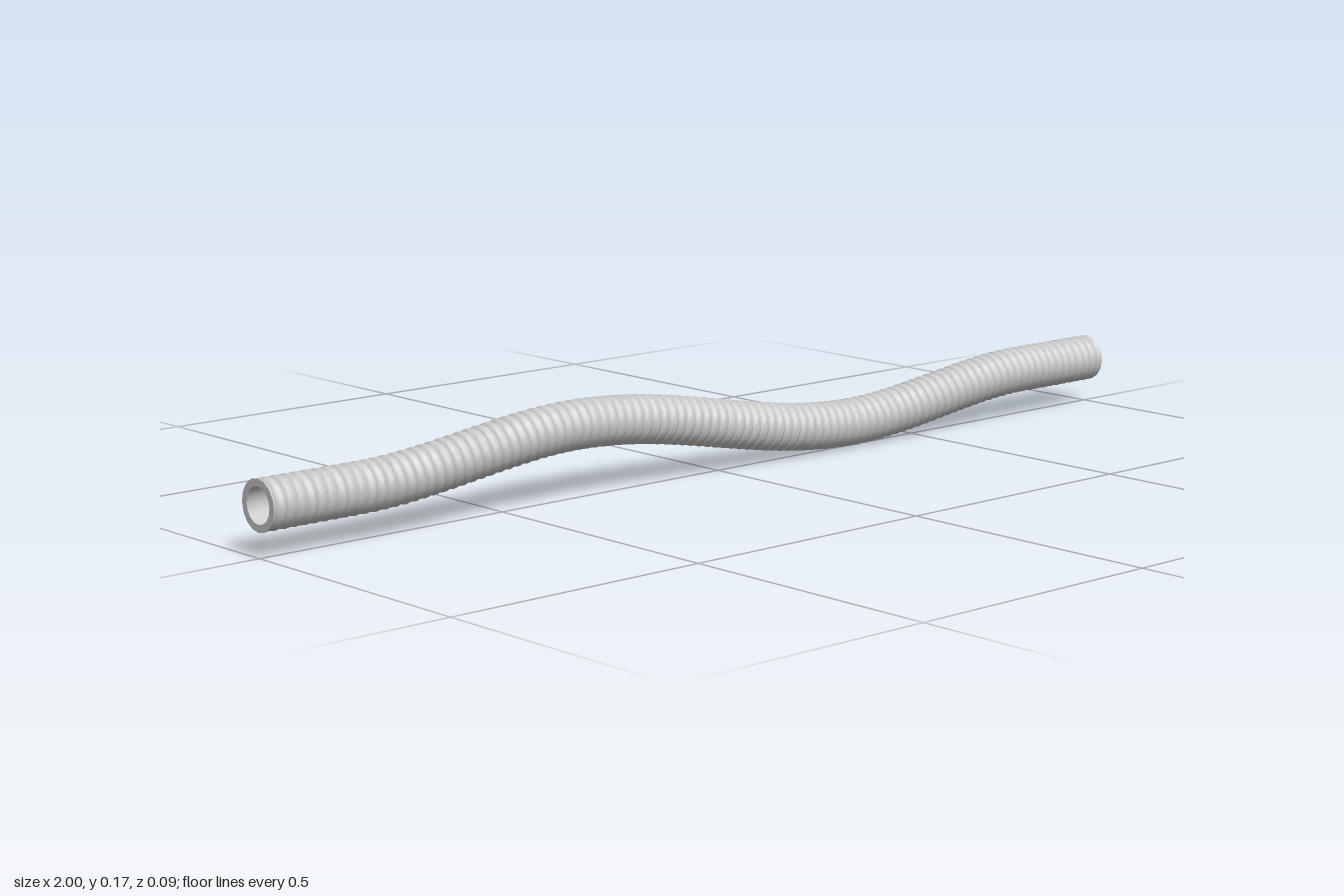
import * as THREE from 'three';
import { toCreasedNormals } from 'three/addons/utils/BufferGeometryUtils.js';

const SIDES = 16, RIBS = 100, INNER_RADIUS = 0.032;
const MID = 0.0875, SWING = 0.0425, BEND = 0.34, STRAIGHT = 0.8;

// height of the hose centre line: straight ends, one hump, one dip
function height(x) {
  const a = Math.abs(x);
  if (a >= STRAIGHT) return MID;
  const wave = a < BEND
    ? Math.sin((a / BEND) * Math.PI / 2)
    : 1 - THREE.MathUtils.smoothstep(a, BEND, STRAIGHT);
  return MID - Math.sign(x) * SWING * wave;
}

// one ring of points square to the centre line
function addRing(positions, x, radius) {
  const d = 0.005;
  const slope = (height(x + d) - height(x - d)) / (2 * d);
  const length = Math.hypot(1, slope);
  for (let j = 0; j < SIDES; j++) {
    const a = (j / SIDES) * Math.PI * 2;
    const up = radius * Math.cos(a) / length;
    positions.push(x - slope * up, height(x) + up, radius * Math.sin(a));
  }
}

export function createModel() {
  const group = new THREE.Group();
  group.name = 'corrugatedHose';

  // ribbed outside, from one end to the other
  const positions = [];
  const rib = [[0, 0.045], [0.3, 0.044], [0.5, 0.039], [0.7, 0.044]];
  const pitch = 2 / RIBS;
  for (let i = 0; i < RIBS; i++)
    for (const [t, r] of rib) addRing(positions, -1 + (i + t) * pitch, r);
  addRing(positions, 1, 0.045);

  // smooth bore, on the way back
  const boreSteps = 60;
  for (let i = 0; i <= boreSteps; i++) addRing(positions, 1 - 2 * i / boreSteps, INNER_RADIUS);

  // join each ring to the next; the last closes onto the first as an end face
  const rings = positions.length / 3 / SIDES;
  const index = [];
  for (let i = 0; i < rings; i++) {
    const p = i * SIDES, q = ((i + 1) % rings) * SIDES;
    for (let j = 0; j < SIDES; j++) {
      const k = (j + 1) % SIDES;
      index.push(p + j, p + k, q + j, p + k, q + k, q + j);
    }
  }
  const geometry = new THREE.BufferGeometry();
  geometry.setAttribute('position', new THREE.Float32BufferAttribute(positions, 3));
  geometry.setIndex(index);

  const hose = new THREE.Mesh(
    toCreasedNormals(geometry, THREE.MathUtils.degToRad(52)),
    new THREE.MeshStandardMaterial({ color: 0xcccccc })
  );
  hose.name = 'hose';
  group.add(hose);
  return group;
}
